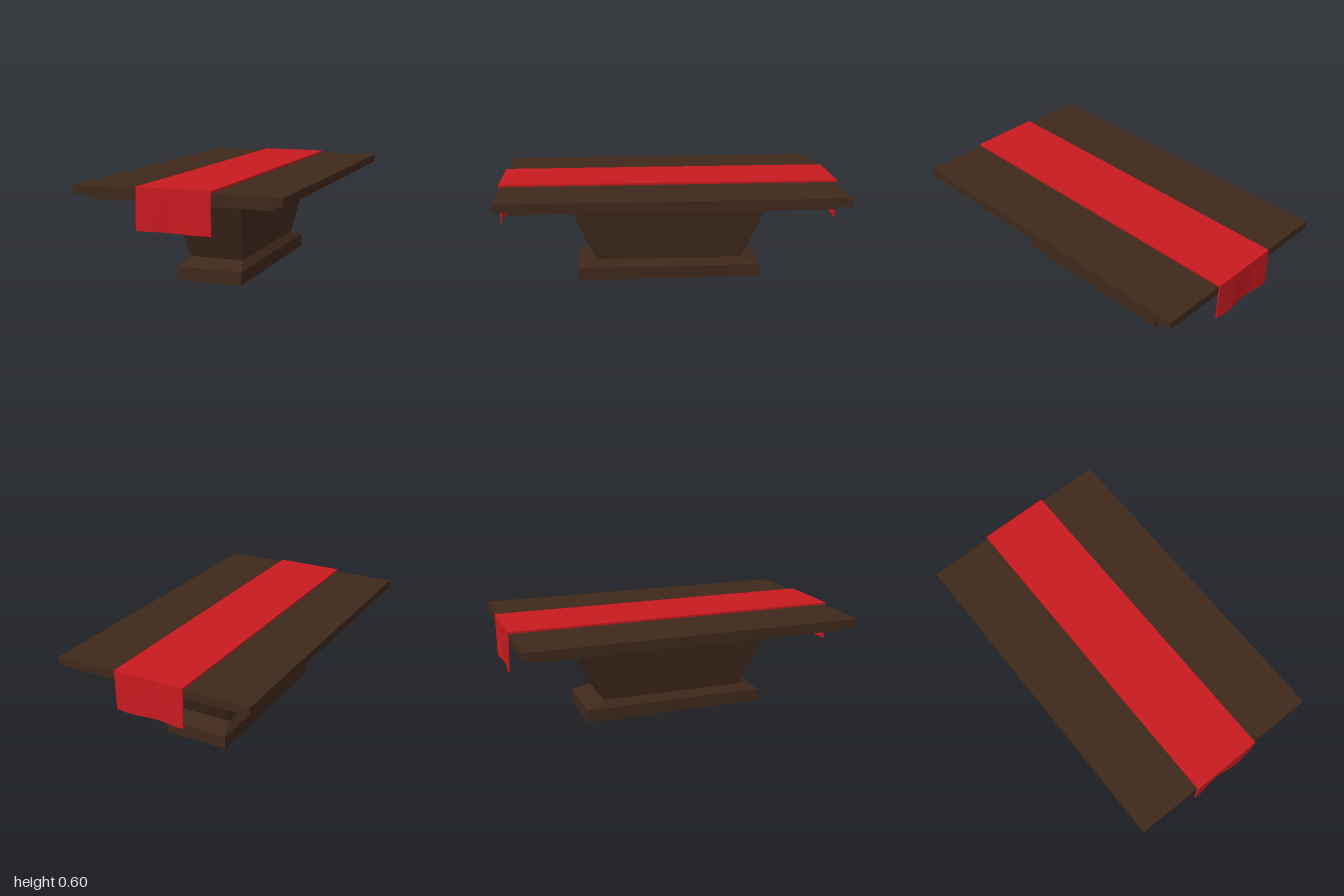
import * as THREE from 'three';

const wood = new THREE.MeshStandardMaterial({ color: 0x3f281b });
const cloth = new THREE.MeshStandardMaterial({ color: 0xc81a20, side: THREE.DoubleSide });

// Rectangular block whose bottom and top may differ; sizes are [halfX, halfZ]
function block(name, y0, y1, bottom, top = bottom) {
  const geo = new THREE.BoxGeometry(2, 1, 2);
  const p = geo.attributes.position;
  for (let i = 0; i < p.count; i++) {
    const up = p.getY(i) > 0;
    const [hx, hz] = up ? top : bottom;
    p.setXYZ(i, p.getX(i) * hx, up ? y1 : y0, p.getZ(i) * hz);
  }
  geo.computeVertexNormals();
  const mesh = new THREE.Mesh(geo, wood);
  mesh.name = name;
  return mesh;
}

// Cloth strip lying along the table, hanging over both ends with a wavy hem
function runner() {
  const half = 0.21, top = 0.6, hem = 0.37, under = 0.588, rows = 6;
  const outer = 0.994, inner = 0.986;
  const y = (from, i) => THREE.MathUtils.lerp(from, hem, i / rows);
  const pts = [];
  for (let i = rows; i >= 0; i--) pts.push(new THREE.Vector2(-outer, y(top, i)));
  for (let i = 0; i <= rows; i++) pts.push(new THREE.Vector2(outer, y(top, i)));
  for (let i = rows; i >= 0; i--) pts.push(new THREE.Vector2(inner, y(under, i)));
  for (let i = 0; i <= rows; i++) pts.push(new THREE.Vector2(-inner, y(under, i)));

  const geo = new THREE.ExtrudeGeometry(new THREE.Shape(pts), {
    depth: half * 2, steps: 28, bevelEnabled: false,
  });
  geo.translate(0, 0, -half).rotateY(Math.PI / 2);

  // Folds grow towards the hem
  const p = geo.attributes.position;
  for (let i = 0; i < p.count; i++) {
    const drop = THREE.MathUtils.clamp((under - p.getY(i)) / (under - hem), 0, 1);
    const fold = 0.007 * Math.sin((p.getX(i) - 0.04) * Math.PI * 2 / 0.31) - 0.001;
    p.setZ(i, p.getZ(i) + Math.sign(p.getZ(i)) * drop * fold);
  }
  geo.computeVertexNormals();
  const mesh = new THREE.Mesh(geo, cloth);
  mesh.name = 'tableRunner';
  return mesh;
}

export function createModel() {
  const group = new THREE.Group();
  group.name = 'table';
  const plinth = [0.197, 0.55], waist = [0.16, 0.44], flare = [0.217, 0.605], apron = [0.52, 0.91];
  group.add(
    block('plinth', 0, 0.077, plinth),
    block('plinthBevel', 0.077, 0.117, plinth, waist),
    block('pedestal', 0.117, 0.5, waist, flare),
    // Slightly sloped underside leading out to the apron
    block('apronUnderside', 0.5, 0.507, flare, apron),
    block('apron', 0.507, 0.54, apron),
    block('tableTop', 0.54, 0.588, [0.587, 0.985]),
    runner(),
  );
  return group;
}
